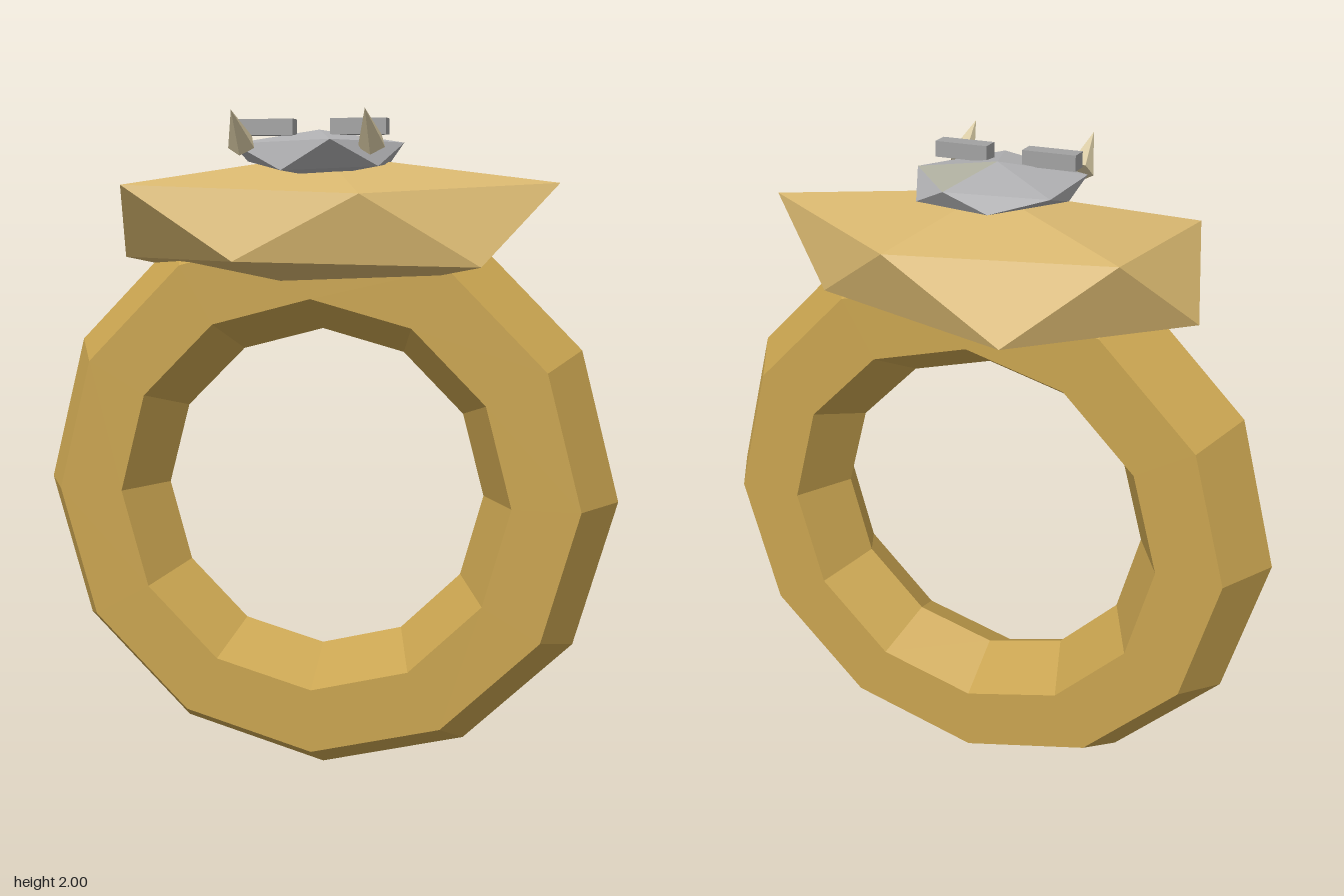
import * as THREE from 'three';

const material = (name, color) => {
  const m = new THREE.MeshStandardMaterial({ color, flatShading: true });
  m.name = name;
  return m;
};

// Faceted stone: apex, two staggered rings of five (counter-clockwise from above), and a bottom point.
// The first of its 20 faces-in-order can be given a second material by index.
function facetedStone(top, upper, lower, bottom, accentFace = -1) {
  const faces = [];
  for (let i = 0; i < 5; i++) {
    const j = (i + 1) % 5;
    faces.push([top, upper[i], upper[j]]);
    faces.push([upper[i], lower[i], upper[j]]);
    faces.push([upper[j], lower[i], lower[j]]);
    faces.push([bottom, lower[j], lower[i]]);
  }
  const g = new THREE.BufferGeometry();
  g.setAttribute('position', new THREE.Float32BufferAttribute(faces.flat(2), 3));
  g.computeVertexNormals();
  faces.forEach((f, i) => g.addGroup(i * 3, 3, i === accentFace ? 1 : 0));
  return g;
}

export function createModel() {
  const model = new THREE.Group();
  model.name = 'ring';
  const bandGold = material('band gold', 0xc9a450);
  const crownGold = material('crown gold', 0xd6b56e);
  const stoneGrey = material('stone grey', 0xb0b0b2);
  const mossGrey = material('moss grey', 0xb0b0a0);
  const browGrey = material('brow grey', 0xa2a2a2);
  const ivory = material('ivory', 0xd8caa4);

  const add = (name, geometry, mat, x = 0, y = 0, z = 0) => {
    const mesh = new THREE.Mesh(geometry, mat);
    mesh.name = name;
    mesh.position.set(x, y, z);
    model.add(mesh);
    return mesh;
  };

  // Twelve-sided band with a hexagonal section
  add('band', new THREE.TorusGeometry(0.688, 0.197, 6, 12), bandGold, 0, 0.888, 0.01);

  // Wide faceted crown sunk into the band
  add('crown', facetedStone(
    [0, 1.89, 0.01],
    [[0.69, 1.805, 0.01], [0.17, 1.78, -0.325], [-0.455, 1.79, -0.2], [-0.54, 1.80, 0.255], [0.17, 1.775, 0.325]],
    [[0.43, 1.6, -0.19], [-0.19, 1.58, -0.365], [-0.62, 1.585, 0.01], [-0.18, 1.59, 0.36], [0.495, 1.575, 0.235]],
    [0, 1.47, 0.01]
  ), crownGold);

  // Small faceted head on the crown, with one differently tinted facet
  add('head', facetedStone(
    [0, 1.957, 0.06],
    [[0.25, 1.918, 0.065], [0.07, 1.915, -0.15], [-0.22, 1.912, -0.095], [-0.225, 1.915, 0.18], [0.09, 1.92, 0.325]],
    [[0.18, 1.862, -0.09], [-0.06, 1.865, -0.145], [-0.215, 1.868, 0.06], [-0.06, 1.838, 0.28], [0.2, 1.85, 0.2]],
    [0, 1.822, 0.06], 0
  ), [stoneGrey, mossGrey]);

  // Brows and tusks on both sides
  const base = new THREE.Vector3(0, 1.91, 0.222);
  const tip = new THREE.Vector3(0, 2.0, 0.328);
  const axis = tip.clone().sub(base);
  for (const side of [1, -1]) {
    const label = side > 0 ? 'left' : 'right';
    add(label + 'Brow', new THREE.BoxGeometry(0.16, 0.045, 0.055), browGrey, side * 0.134, 1.961, 0.135);

    const tusk = add(label + 'Tusk', new THREE.ConeGeometry(0.04, axis.length(), 5), ivory);
    tusk.position.copy(base).add(tip).multiplyScalar(0.5);
    tusk.position.x = side * 0.186;
    tusk.quaternion.setFromUnitVectors(new THREE.Vector3(0, 1, 0), axis.clone().normalize());
  }
  return model;
}
